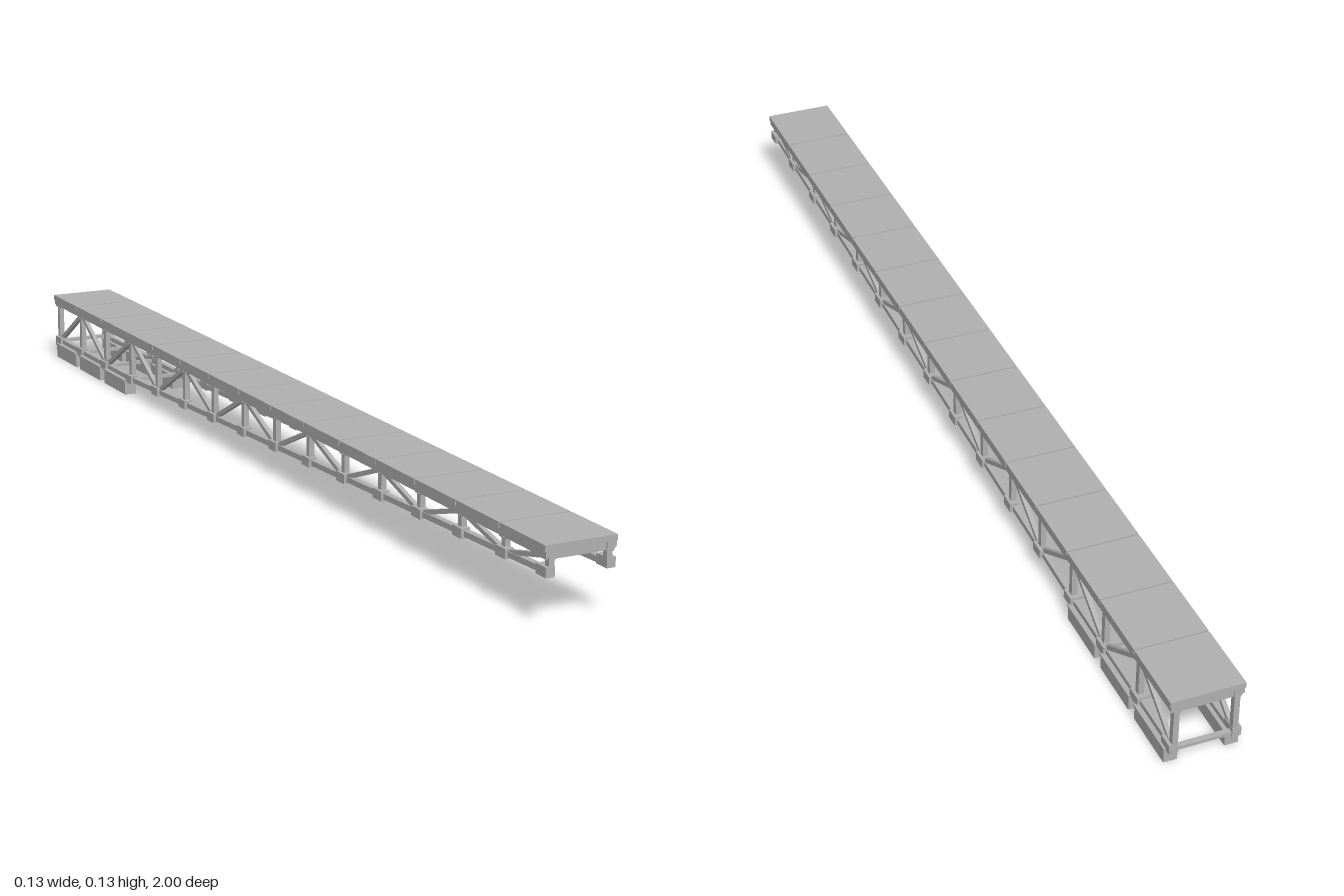
import * as THREE from 'three';

export function createModel() {
  const model = new THREE.Group();
  const steel = new THREE.MeshStandardMaterial({ color: 0xb0b0b0 });
  steel.name = 'steelGrey';

  const BAYS = 15, BAY = 2 / BAYS, TRUSS_X = 0.052, TOP_Y = 0.12;
  // node positions along the span, end nodes pulled in to stay flush
  const nodeZ = i => THREE.MathUtils.clamp(1 - i * BAY, -0.993, 0.993);
  // lower chord slopes down to the pontoons, then runs level
  const lowY = z => 0.034 + Math.max(0, z + 0.6) * 0.0345;

  function box(parent, name, w, h, d, x, y, z) {
    const mesh = new THREE.Mesh(new THREE.BoxGeometry(w, h, d), steel);
    mesh.name = name;
    mesh.position.set(x, y, z);
    parent.add(mesh);
    return mesh;
  }

  // bar in the vertical plane at x, from (y0, z0) to (y1, z1)
  function bar(parent, name, w, h, x, y0, z0, y1, z1) {
    const length = Math.hypot(y1 - y0, z1 - z0);
    const mesh = box(parent, name, w, h, length, x, (y0 + y1) / 2, (z0 + z1) / 2);
    mesh.rotation.x = -Math.atan2(y1 - y0, z1 - z0);
  }

  // deck slabs with narrow joints
  const deck = new THREE.Group();
  deck.name = 'deck';
  model.add(deck);
  for (let i = 0; i < BAYS; i++) {
    const front = i === 0 ? 0 : 0.0015, back = i === BAYS - 1 ? 0 : 0.0015;
    box(deck, 'deckPanel', 0.13, 0.01, BAY - front - back, 0, 0.129,
      1 - (i + 0.5) * BAY + (back - front) / 2);
  }

  // cross beams under the deck joints
  for (let i = 0; i <= BAYS; i++) {
    box(deck, 'deckCrossBeam', 0.122, 0.014, 0.01, 0, 0.117, nodeZ(i));
  }

  // two mirrored side trusses
  for (const side of [-1, 1]) {
    const truss = new THREE.Group();
    truss.name = side > 0 ? 'leftTruss' : 'rightTruss';
    model.add(truss);
    const x = side * TRUSS_X;

    box(truss, 'topChord', 0.012, 0.014, 2, x, 0.117, 0);
    box(truss, 'deckEdgeRail', 0.005, 0.012, 2, side * 0.0605, 0.12, 0);
    bar(truss, 'slopedLowerChord', 0.011, 0.01, x, lowY(1), 0.998, lowY(-0.6), -0.6);
    box(truss, 'levelLowerChord', 0.011, 0.01, 0.4, x, 0.034, -0.8);

    for (let i = 0; i <= BAYS; i++) {
      const z = nodeZ(i), y = lowY(z);
      box(truss, 'post', 0.01, TOP_Y - y, 0.011, x, (TOP_Y + y) / 2, z);
      // joint blocks wrap the foot of each post
      const gz = THREE.MathUtils.clamp(z, -0.985, 0.985);
      box(truss, 'jointBlock', 0.016, 0.017, 0.029, side * 0.0545, y + 0.001, gz);
      box(truss, 'topJointBlock', 0.012, 0.008, 0.022, x, 0.112,
        THREE.MathUtils.clamp(z, -0.989, 0.989));
      // diagonals zigzag: high at even nodes, low at odd ones
      if (i < BAYS) {
        const z1 = nodeZ(i + 1), even = i % 2 === 0;
        bar(truss, 'diagonal', 0.008, 0.008, x,
          even ? 0.115 : y, z, even ? lowY(z1) : 0.115, z1);
      }
    }

    // three pontoons with a slightly wider cap
    for (const z of [-0.665, -0.8, -0.932]) {
      box(truss, 'pontoon', 0.024, 0.026, 0.11, side * 0.053, 0.013, z);
      box(truss, 'pontoonCap', 0.027, 0.004, 0.113, side * 0.053, 0.028, z);
    }
  }

  // lower ties between the trusses over the pontoons
  for (let i = 12; i <= BAYS; i++) {
    box(model, 'lowerCrossTie', 0.1, 0.006, 0.01, 0, 0.033, nodeZ(i));
  }
  return model;
}
